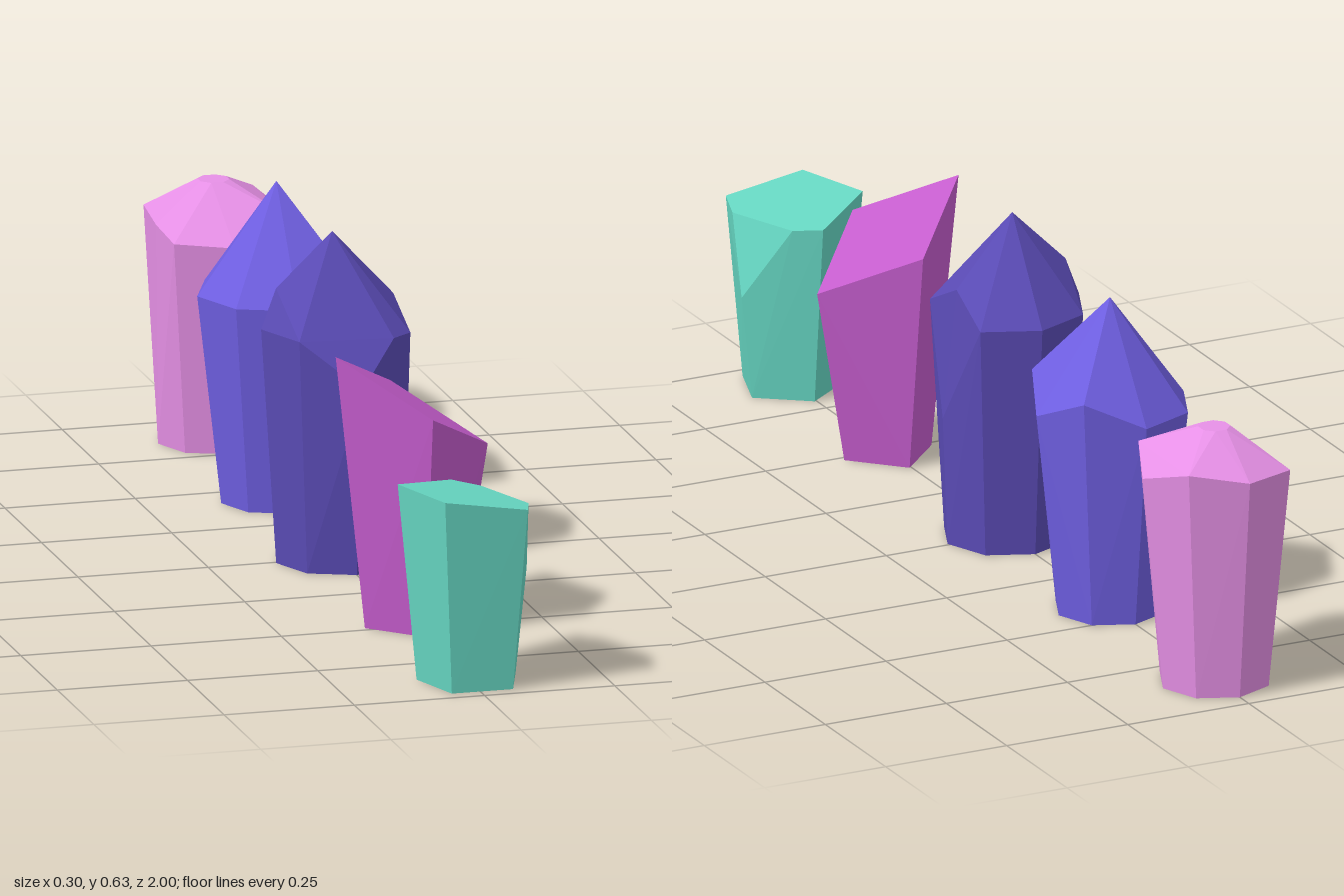
import * as THREE from 'three';
import { ConvexGeometry } from 'three/addons/geometries/ConvexGeometry.js';

// Ring of n points, the first at the front unless turned; height follows a rule of x and z.
function ring(n, radius, height = () => 0, turn = 0) {
  return Array.from({ length: n }, (_, i) => {
    const a = turn + (i / n) * Math.PI * 2;
    const x = Math.sin(a) * radius;
    const z = Math.cos(a) * radius;
    return new THREE.Vector3(x, height(x, z), z);
  });
}

const point = (x, y, z) => new THREE.Vector3(x, y, z);

// The two diagonal corners on the left side of a crystal stand higher than the rest.
const isRaised = (x) => x > 0.05 && x < 0.13;

// A crystal is the convex solid through its base, shoulder and tip points.
function crystal(name, color, x, z, points) {
  const material = new THREE.MeshStandardMaterial({ color, flatShading: true });
  const mesh = new THREE.Mesh(new ConvexGeometry(points), material);
  mesh.name = name;
  mesh.position.set(x, 0, z);
  return mesh;
}

// Pentagonal stump with a slanted top and one chipped corner
function stumpCrystal() {
  const slant = (x, z) => 0.356 - 0.156 * x + 0.052 * z;
  return crystal('stumpCrystal', 0x66d6c2, 0.004, 0.89, [
    ...ring(5, 0.1, () => 0, Math.PI),
    ...ring(5, 0.135, slant, Math.PI).slice(0, 4),
    point(0.1, slant(0.1, 0.04), 0.04),
    point(0.046, slant(0.046, -0.1), -0.1),
    point(0.116, 0.2, -0.03),
  ]);
}

// Square prism, obliquely cut
function obliqueCrystal() {
  return crystal('obliqueCrystal', 0xc45ccc, 0.004, 0.487, [
    ...ring(4, 0.09),
    ...ring(4, 0.146, (x) => 0.43 - 0.64 * x),
  ]);
}

// Tall octagonal crystal with an uneven crown; the front and left shoulders are cut differently
function tallCrystal() {
  return crystal('tallCrystal', 0x5a4bb5, 0, 0.005, [
    ...ring(8, 0.121),
    ...ring(8, 0.15, () => 0.45).slice(3),
    point(0, 0.365, 0.162),
    point(0.07, 0.45, 0.125),
    point(0.11, 0.45, 0.095),
    point(0.131, 0.25, 0),
    point(0.105, 0.5, -0.005),
    point(-0.12, 0.525, -0.005),
    point(-0.015, 0.63, 0.005),
  ]);
}

// Pointed octagonal crystal with two raised shoulders
function pointedCrystal() {
  return crystal('pointedCrystal', 0x6f5fe2, 0, -0.425, [
    ...ring(8, 0.106),
    ...ring(8, 0.152, (x) => (isRaised(x) ? 0.45 : 0.4)),
    point(0, 0.61, 0),
  ]);
}

// Blunt crystal with a small flat cap and a flattened right flank
function bluntCrystal() {
  const shoulder = ring(8, 0.148, (x, z) => (isRaised(x) ? 0.453 : 0.42 - 0.1 * z));
  shoulder.forEach((p) => { p.x = Math.max(p.x, -0.11); });
  return crystal('bluntCrystal', 0xe690e6, 0, -0.857, [
    ...ring(8, 0.106),
    ...shoulder,
    ...ring(8, 0.03, () => 0.5, Math.PI / 8),
  ]);
}

export function createModel() {
  const group = new THREE.Group();
  group.name = 'crystalRow';
  group.add(stumpCrystal(), obliqueCrystal(), tallCrystal(), pointedCrystal(), bluntCrystal());
  return group;
}
